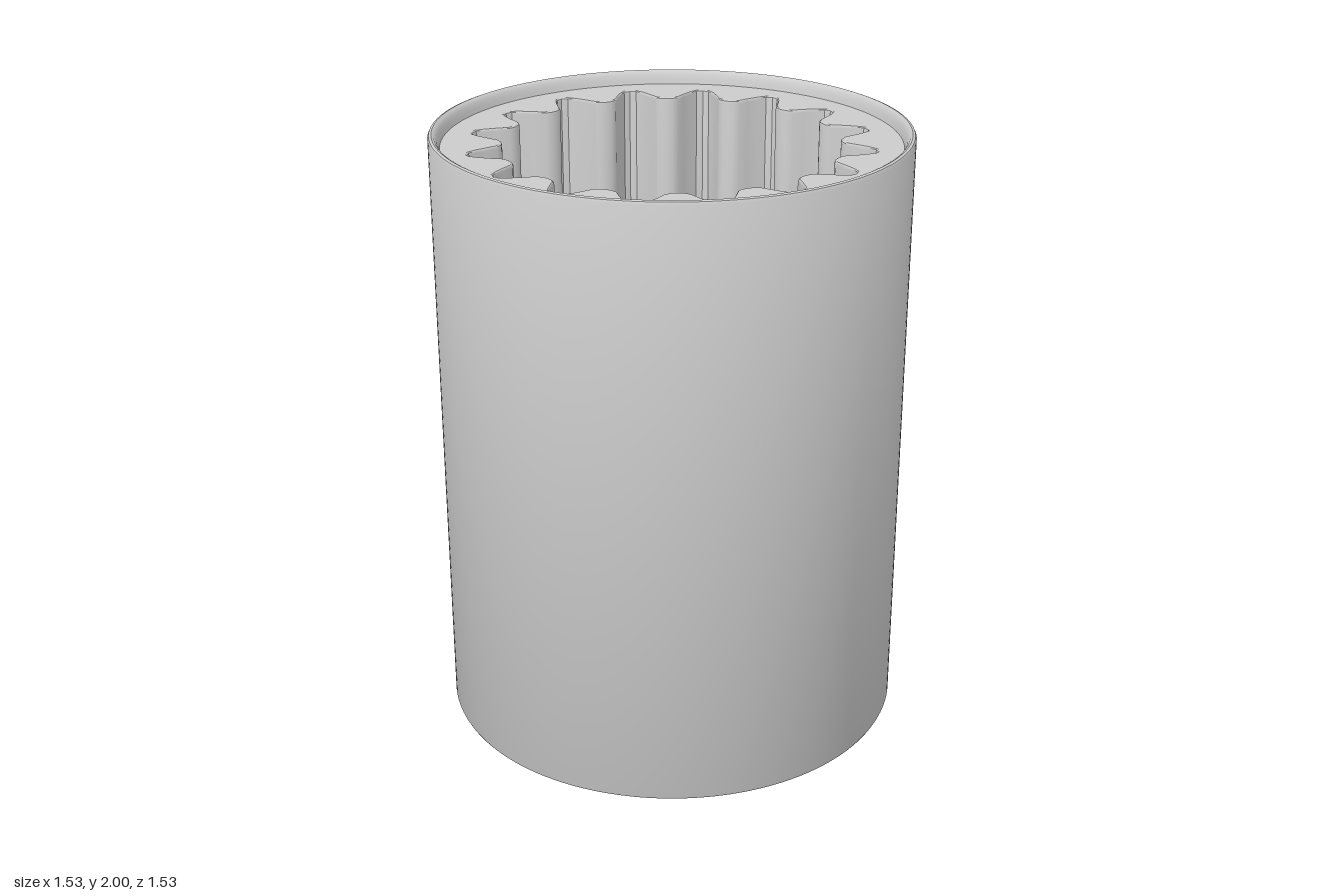
import * as THREE from 'three';
import { toCreasedNormals } from 'three/addons/utils/BufferGeometryUtils.js';

const material = new THREE.MeshStandardMaterial({ color: 0xcccccc });
const TEETH = 16, SEGMENTS = 192;
const FACE_Y = 1.955, FLOOR_Y = 1.0, DRIVE_Y = 0.82;
const BORE = 0.21, DRIVE_HALF = 0.42, CONE_R = 0.738;

// Skin a stack of rings; radius and height may each be a number or a rule.
function loft(name, rings) {
  const pos = [], index = [];
  for (const [radius, height] of rings) {
    for (let i = 0; i < SEGMENTS; i++) {
      const a = (i / SEGMENTS) * Math.PI * 2;
      const r = typeof radius === 'function' ? radius(a) : radius;
      const y = typeof height === 'function' ? height(r) : height;
      pos.push(r * Math.cos(a), y, r * Math.sin(a));
    }
  }
  for (let j = 0; j < rings.length - 1; j++) {
    for (let i = 0; i < SEGMENTS; i++) {
      const k = (i + 1) % SEGMENTS;
      const a = j * SEGMENTS + i, b = j * SEGMENTS + k;
      const c = a + SEGMENTS, d = b + SEGMENTS;
      index.push(a, c, b, b, c, d);
    }
  }
  const geometry = new THREE.BufferGeometry();
  geometry.setAttribute('position', new THREE.Float32BufferAttribute(pos, 3));
  geometry.setIndex(index);
  const mesh = new THREE.Mesh(toCreasedNormals(geometry, 0.55), material);
  mesh.name = name;
  return mesh;
}

// Half a tooth: degrees from the tooth centre against radius.
const TOOTH = [[0, 0.535], [1.875, 0.537], [3.75, 0.547], [5.6, 0.58], [7.5, 0.614], [9.375, 0.641], [11.25, 0.648]];
function splineRadius(grow) {
  return (angle) => {
    const pitch = 360 / TEETH;
    const turn = THREE.MathUtils.radToDeg(angle) % pitch;
    const t = Math.min(turn, pitch - turn);
    let i = 0;
    while (i < TOOTH.length - 2 && t > TOOTH[i + 1][0]) i++;
    const [t0, r0] = TOOTH[i], [t1, r1] = TOOTH[i + 1];
    return r0 + ((r1 - r0) * (t - t0)) / (t1 - t0) + grow;
  };
}

const squareRadius = (a) => DRIVE_HALF / Math.max(Math.abs(Math.cos(a)), Math.abs(Math.sin(a)));
const coneHeight = (r) => 0.02 + (CONE_R - r) * 0.577;

export function createModel() {
  const group = new THREE.Group();
  group.name = 'socket';

  group.add(
    // Outer wall with rounded ends and a raised lip around the top
    loft('outerWall', [
      [CONE_R, 0.02], [0.743, 0.006], [0.753, 0], [0.761, 0.003], [0.765, 0.011],
      [0.765, 1.989], [0.761, 1.997], [0.753, 2], [0.745, 1.996],
      [0.738, 1.985], [0.733, 1.97], [0.729, FACE_Y],
    ]),
    // Recessed top face
    loft('topFace', [[0.729, FACE_Y], [splineRadius(0.007), FACE_Y]]),
    // Toothed opening with a softened upper edge
    loft('splineOpening', [
      [splineRadius(0.007), FACE_Y], [splineRadius(0.002), FACE_Y - 0.003],
      [splineRadius(0), FACE_Y - 0.01], [splineRadius(0), FLOOR_Y],
    ]),
    loft('splineFloor', [[splineRadius(0), FLOOR_Y], [BORE, FLOOR_Y]]),
    // Round hole joining the two recesses
    loft('centreBore', [[BORE, FLOOR_Y], [BORE, DRIVE_Y]]),
    // Square drive recess in the underside
    loft('driveCeiling', [[BORE, DRIVE_Y], [squareRadius, DRIVE_Y]]),
    loft('driveWalls', [[squareRadius, DRIVE_Y], [squareRadius, coneHeight]]),
    // Conical lead-in around the square
    loft('leadInCone', [[squareRadius, coneHeight], [CONE_R, coneHeight]]),
  );
  return group;
}
